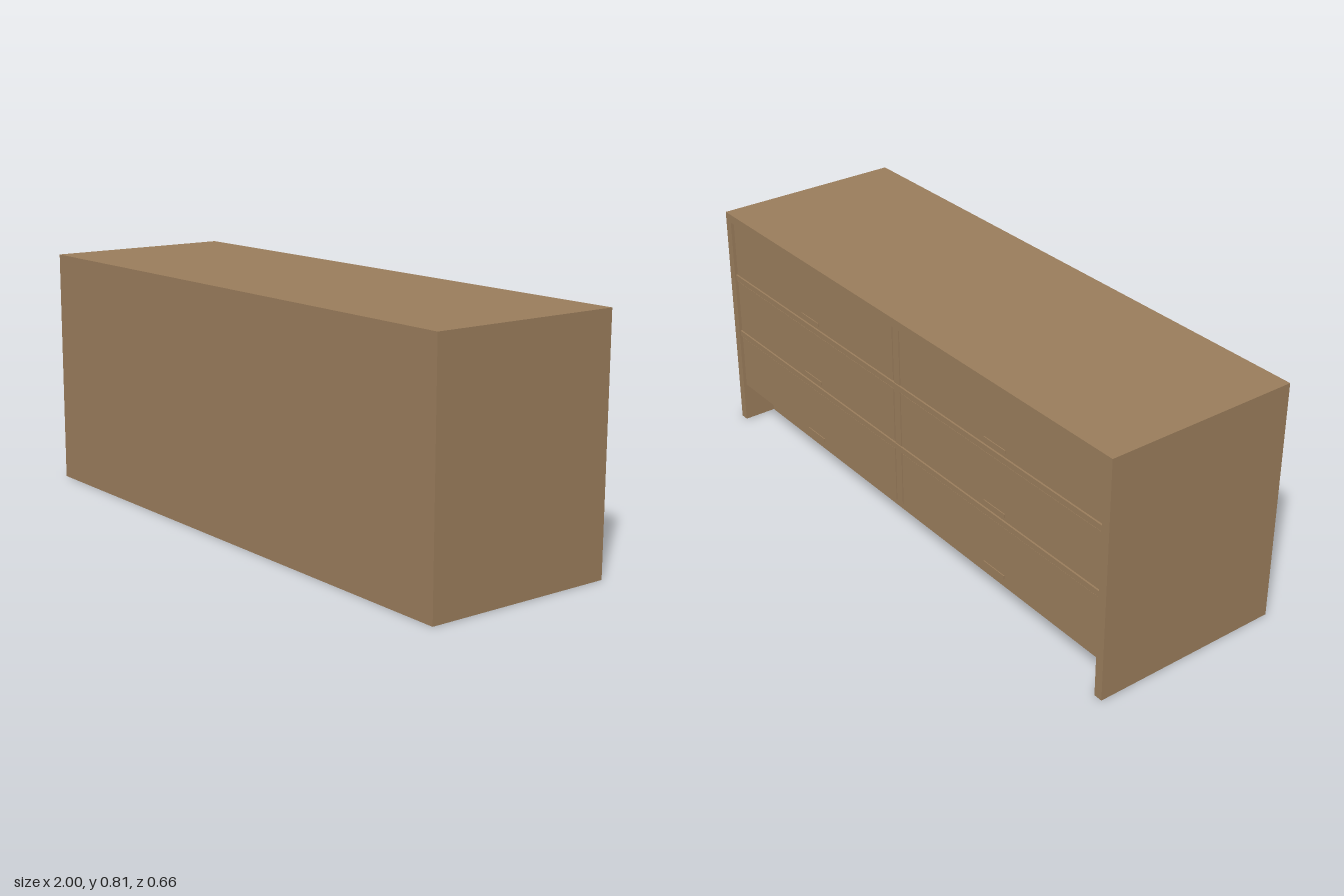
import * as THREE from 'three';

const W = 2, H = 0.808, D = 0.66; // overall size; the drawers face -z
const T = 0.03;                   // panel thickness
const KICK_H = 0.143, KICK_D = 0.115;
const RAIL = 0.02, GAP = 0.005, RECESS = 0.008;
const FRONT = -D / 2, BACK = D / 2;

export function createModel() {
  const model = new THREE.Group();
  model.name = 'dresser';
  const wood = new THREE.MeshStandardMaterial({ color: 0x997c5b });

  // Box given by its minimum and maximum corners
  function panel(name, [x0, y0, z0], [x1, y1, z1], parent = model) {
    const mesh = new THREE.Mesh(new THREE.BoxGeometry(x1 - x0, y1 - y0, z1 - z0), wood);
    mesh.position.set((x0 + x1) / 2, (y0 + y1) / 2, (z0 + z1) / 2);
    mesh.name = name;
    parent.add(mesh);
  }

  // Carcass
  const inner = W / 2 - T, ceiling = H - T;
  panel('top', [-inner, ceiling, FRONT], [inner, H, BACK]);
  panel('leftSide', [inner, 0, FRONT], [W / 2, H, BACK]);
  panel('rightSide', [-W / 2, 0, FRONT], [-inner, H, BACK]);
  panel('backPanel', [-inner, KICK_H, BACK - T], [inner, ceiling, BACK]);
  panel('plinth', [-inner, 0, FRONT + KICK_D], [inner, KICK_H, BACK]);
  panel('floor', [-inner, KICK_H, FRONT + 0.03], [inner, KICK_H + 0.012, BACK - T]);
  panel('centreDivider', [-T / 2, KICK_H, FRONT + RECESS], [T / 2, ceiling, BACK - T]);

  // Three rows of two drawers, separated by rails
  const rowH = (ceiling - KICK_H - 2 * RAIL) / 3;
  for (let row = 0; row < 3; row++) {
    const y0 = KICK_H + row * (rowH + RAIL);
    if (row > 0) panel('rail', [-inner, y0 - RAIL, FRONT + 0.004], [inner, y0, FRONT + 0.06]);

    for (const side of [-1, 1]) {
      const drawer = new THREE.Group();
      drawer.name = side > 0 ? 'leftDrawer' : 'rightDrawer';
      model.add(drawer);
      const mid = side * (inner + T / 2) / 2;
      const half = (inner - T / 2) / 2 - GAP;
      const bottom = y0 + (row > 0 ? 0.002 : 0), top = y0 + rowH - GAP;
      const face = FRONT + RECESS, faceBack = face + 0.022, end = BACK - T - 0.02;

      panel('drawerFront', [mid - half, bottom, face], [mid + half, top, faceBack], drawer);
      // Low finger pull near the bottom edge
      panel('fingerPull', [mid - 0.05, bottom + 0.012, face - 0.003],
        [mid + 0.05, bottom + 0.024, face], drawer);
      // Open tray behind the front
      const low = y0 + 0.015, high = top - 0.03;
      const a = mid - half + 0.01, b = mid + half - 0.01;
      panel('drawerBase', [a, low, faceBack], [b, low + 0.01, end], drawer);
      panel('drawerSide', [a, low + 0.01, faceBack], [a + 0.015, high, end], drawer);
      panel('drawerSide', [b - 0.015, low + 0.01, faceBack], [b, high, end], drawer);
      panel('drawerBack', [a + 0.015, low + 0.01, end - 0.015], [b - 0.015, high, end], drawer);
    }
  }
  return model;
}
